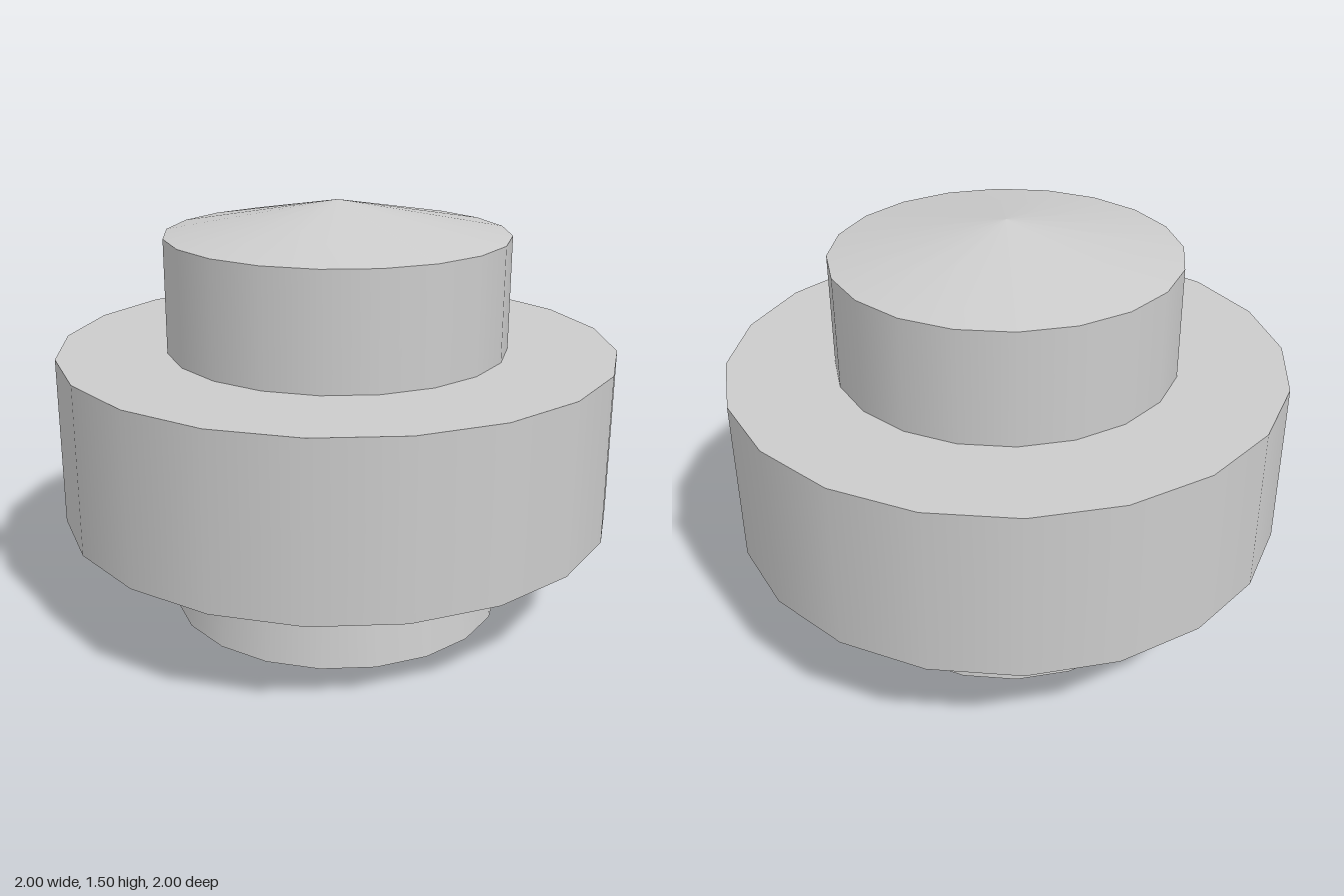
import * as THREE from 'three';

const SIDES = 20;
const MID = 0.75;

export function createModel() {
  const model = new THREE.Group();
  model.name = 'steppedKnob';
  const body = new THREE.Group();
  body.name = 'body';
  const material = new THREE.MeshStandardMaterial({ color: 0xcccccc });

  // One round section between two heights, tapering from bottom to top radius
  const section = (name, rBottom, rTop, y0, y1) => {
    const geometry = new THREE.CylinderGeometry(rTop, rBottom, y1 - y0, SIDES);
    const mesh = new THREE.Mesh(geometry, material);
    mesh.name = name;
    mesh.position.y = (y0 + y1) / 2 - MID;
    body.add(mesh);
  };

  section('taperedFoot', 0.613, 0.567, 0.003, 0.378);
  section('wideDrum', 1, 1, 0.378, 0.983);
  section('upperDrum', 0.613, 0.613, 0.983, 1.388);

  // Shallow conical cap
  const cap = new THREE.Mesh(new THREE.ConeGeometry(0.613, 0.117, SIDES, 1, true), material);
  cap.name = 'conicalCap';
  cap.position.y = 1.388 + 0.117 / 2 - MID;
  body.add(cap);

  // The whole stack leans very slightly to +x
  body.position.y = MID;
  body.rotation.z = -0.004;
  model.add(body);
  return model;
}
